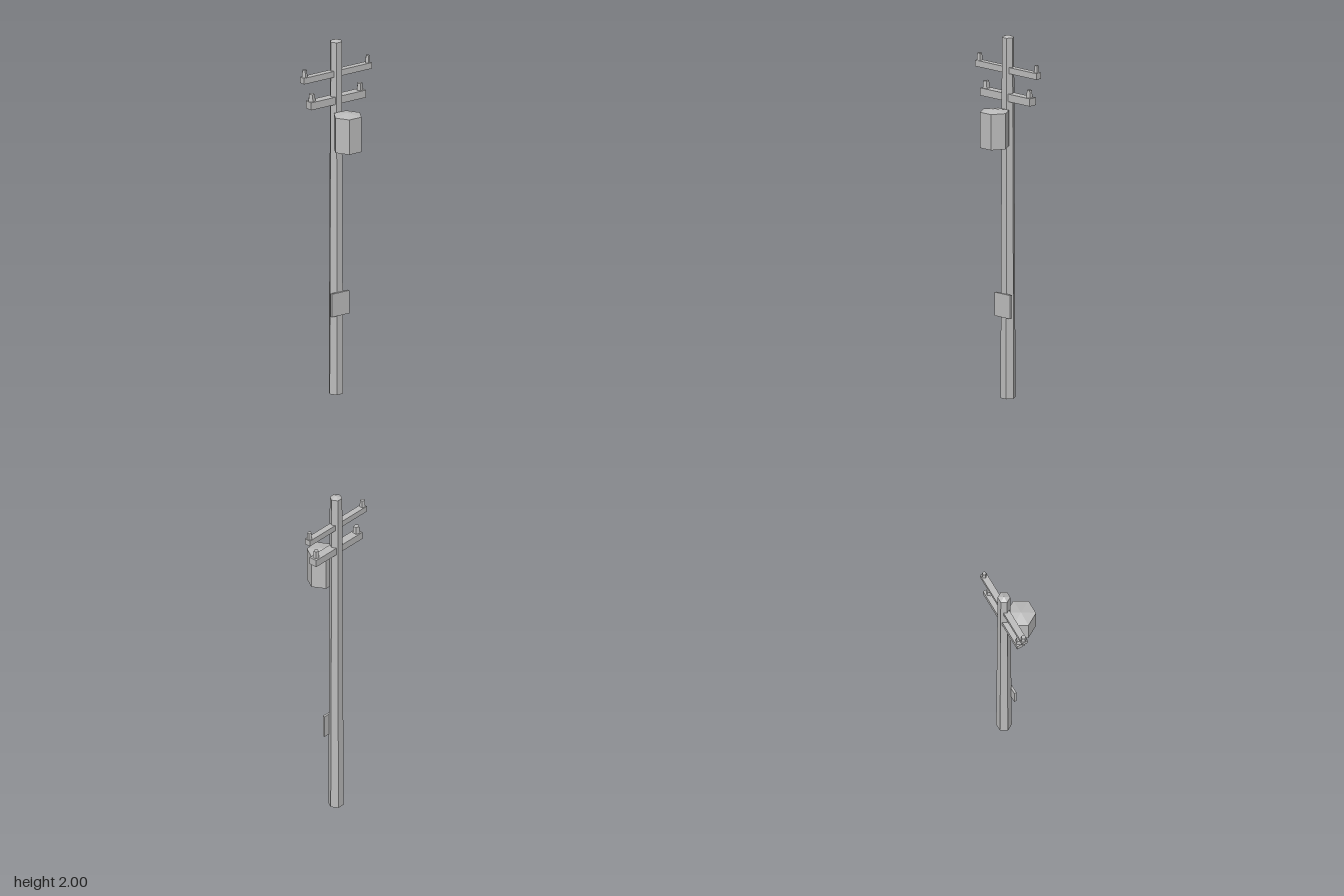
import * as THREE from 'three';

const POLE_Z = -0.07;

export function createModel() {
  const group = new THREE.Group();
  const grey = new THREE.MeshStandardMaterial({ color: 0xbcbcbc });
  grey.name = 'grey';

  function add(name, geometry, x, y, z) {
    const mesh = new THREE.Mesh(geometry, grey);
    mesh.name = name;
    mesh.position.set(x, y, z);
    group.add(mesh);
  }

  // Closed, faceted, tapered prism with a shallow pointed top
  function prism(sides, bottom, top, rim, apex, turn) {
    const profile = [[0, 0], [bottom, 0], [top, rim], [0, apex]]
      .map(([r, y]) => new THREE.Vector2(r, y));
    const faceted = new THREE.LatheGeometry(profile, sides, turn).toNonIndexed();
    faceted.computeVertexNormals();
    return faceted;
  }

  // Tapered hexagonal pole
  add('pole', prism(6, 0.042, 0.034, 1.988, 2, Math.PI / 6), 0, 0, POLE_Z);

  // Transformer can hanging on the front
  add('transformer', prism(6, 0.081, 0.081, 0.197, 0.21, Math.PI / 6), 0, 1.4, 0.035);

  // Crossarms, each with a pair of five-sided insulators
  const arms = [
    { name: 'upper', width: 0.452, height: 0.034, depth: 0.035, y: 1.792, pins: [[-0.21, 0.017], [0.21, 0.0145]] },
    { name: 'lower', width: 0.366, height: 0.042, depth: 0.048, y: 1.639, pins: [[-0.162, 0.021], [0.157, 0.018]] },
  ];
  for (const { name, width, height, depth, y, pins } of arms) {
    add(`${name}Crossarm`, new THREE.BoxGeometry(width, height, depth), 0, y + height / 2, POLE_Z);
    for (const [x, radius] of pins) {
      const side = x > 0 ? 'Left' : 'Right';
      add(`${name}${side}Insulator`, prism(5, radius, radius * 0.78, 0.041, 0.041, -Math.PI / 2),
        x, y + height - 0.001, POLE_Z);
    }
  }

  // Flat plate low on the front of the pole
  add('plate', new THREE.BoxGeometry(0.115, 0.13, 0.013), -0.001, 0.514, -0.0335);

  return group;
}
